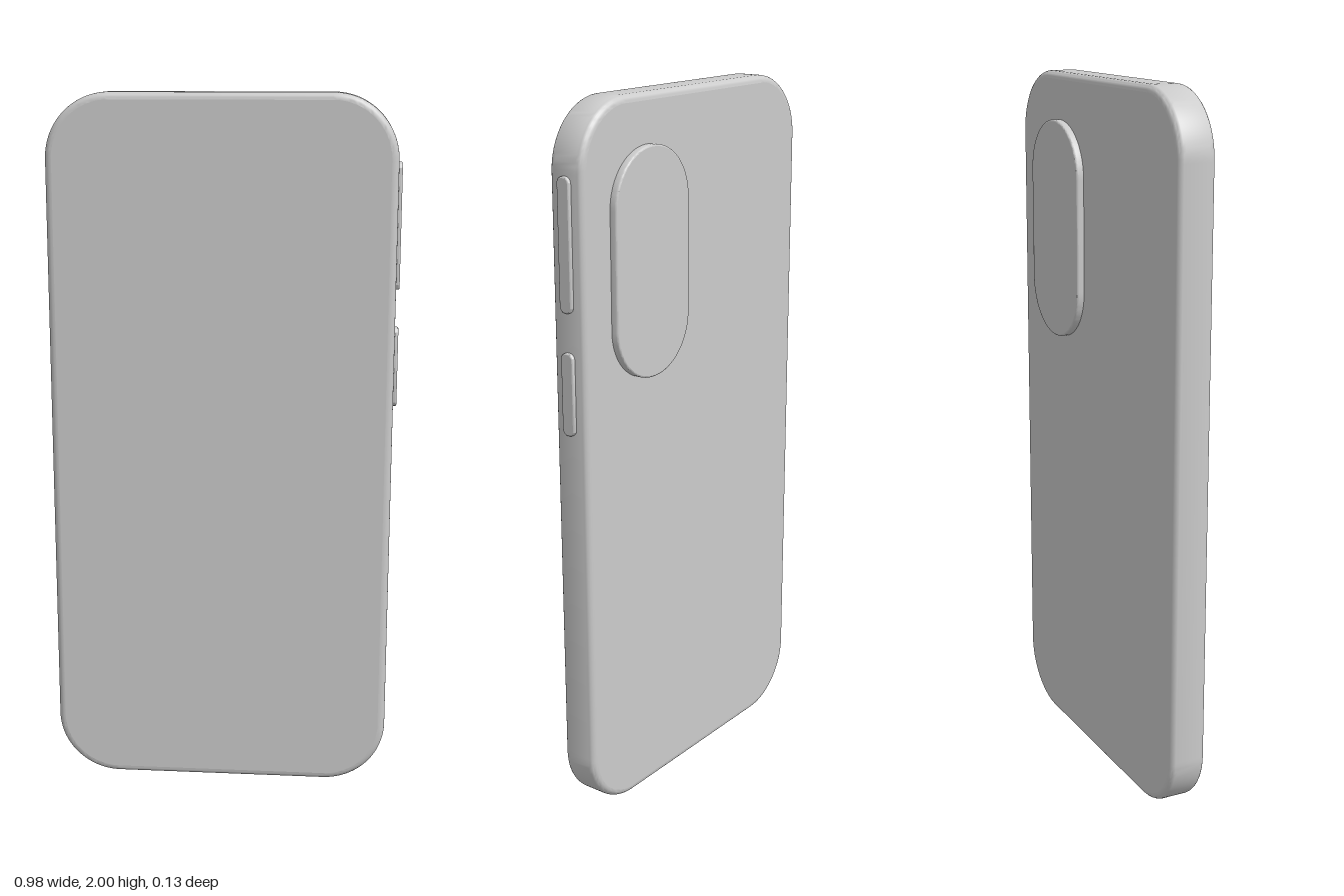
import * as THREE from 'three';
import { toCreasedNormals } from 'three/addons/utils/BufferGeometryUtils.js';

const material = new THREE.MeshStandardMaterial({ color: 0xcccccc });

// Rounded rectangle outline centred on the origin.
function roundedRect(w, h, r) {
  const s = new THREE.Shape();
  const x = w / 2 - r, y = h / 2 - r, q = Math.PI / 2;
  s.absarc(x, y, r, 0, q);
  s.absarc(-x, y, r, q, 2 * q);
  s.absarc(-x, -y, r, 2 * q, 3 * q);
  s.absarc(x, -y, r, 3 * q, 4 * q);
  s.closePath();
  return s;
}

// Slab with rounded corners and rounded rims, centred on the origin.
function slab(w, h, d, r, bevel, segments = 5) {
  const geometry = new THREE.ExtrudeGeometry(roundedRect(w - 2 * bevel, h - 2 * bevel, r - bevel), {
    depth: d - 2 * bevel,
    curveSegments: 14,
    bevelEnabled: true,
    bevelSize: bevel,
    bevelThickness: bevel,
    bevelSegments: segments,
  });
  geometry.translate(0, 0, -(d - 2 * bevel) / 2);
  const smooth = toCreasedNormals(geometry, 0.6);

  // Keep the two large faces perfectly flat.
  const p = smooth.attributes.position, n = smooth.attributes.normal;
  for (let i = 0; i < p.count; i += 3) {
    const z = p.getZ(i);
    const flat = [1, 2].every((k) => Math.abs(p.getZ(i + k) - z) < 1e-6);
    if (flat) for (let k = 0; k < 3; k++) n.setXYZ(i + k, 0, 0, Math.sign(z));
  }
  return smooth;
}

function addPart(group, name, geometry, x, y, z) {
  const mesh = new THREE.Mesh(geometry, material);
  mesh.name = name;
  mesh.position.set(x, y, z);
  group.add(mesh);
  return mesh;
}

export function createModel() {
  const group = new THREE.Group();
  group.name = 'phone';

  // Body
  addPart(group, 'body', slab(0.97, 2, 0.107, 0.18, 0.02), -0.005, 1, 0.0105);

  // Raised camera plate on the back
  addPart(group, 'cameraPlate', slab(0.31, 0.622, 0.036, 0.153, 0.005, 3), 0.215, 1.558, -0.046);

  // Side buttons: [name, bottom, top]
  for (const [name, bottom, top] of [
    ['upperButton', 1.465, 1.815],
    ['lowerButton', 1.135, 1.36],
  ]) {
    const button = addPart(group, name, slab(0.04, top - bottom, 0.03, 0.018, 0.004, 3),
      0.475, (bottom + top) / 2, 0.011);
    button.rotation.y = Math.PI / 2;
  }

  return group;
}
